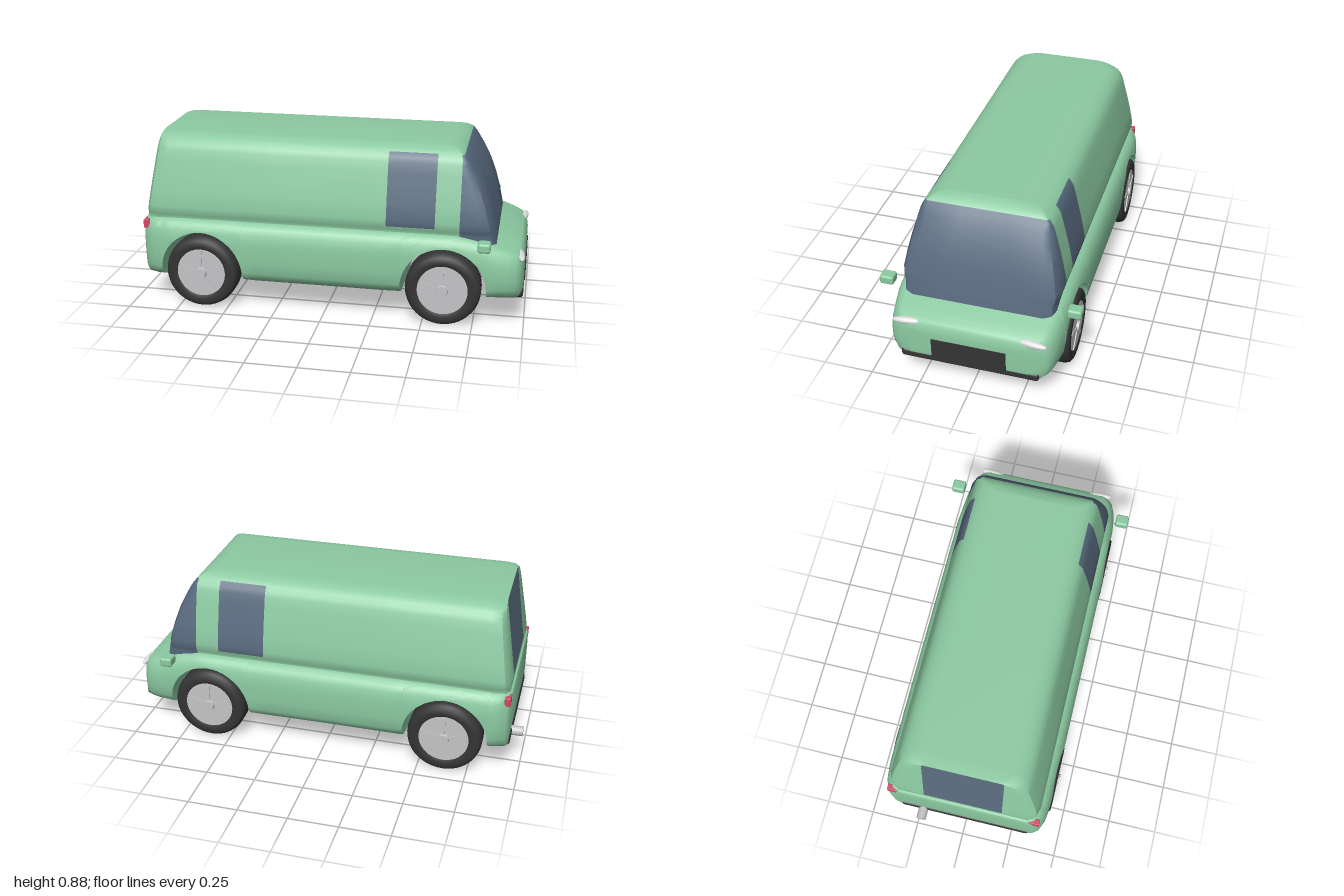
import * as THREE from 'three';
import { toCreasedNormals } from 'three/addons/utils/BufferGeometryUtils.js';
import { RoundedBoxGeometry } from 'three/addons/geometries/RoundedBoxGeometry.js';

const material = (name, color) => {
  const m = new THREE.MeshStandardMaterial({ color });
  m.name = name;
  return m;
};

// Linear lookup in a short table of [key, value] pairs
function lookup(table, k) {
  if (k <= table[0][0]) return table[0][1];
  for (let i = 1; i < table.length; i++) {
    const [k0, v0] = table[i - 1], [k1, v1] = table[i];
    if (k <= k1) return v0 + (v1 - v0) * (k - k0) / (k1 - k0);
  }
  return table[table.length - 1][1];
}

// Closed skin over rings that mirror in z (point i pairs with n-1-i).
// slot(ring, column) picks the material index of each quad.
function loft(rings, slot = () => 0) {
  const n = rings[0].length, faces = [[], []];
  const quad = (list, a, b, c, d) => list.push(a, b, c, a, c, d);
  for (let r = 0; r < rings.length - 1; r++) {
    for (let i = 0; i < n; i++) {
      const j = (i + 1) % n, a = r * n, b = a + n;
      quad(faces[slot(r, i)], a + i, b + i, b + j, a + j);
    }
  }
  const end = (rings.length - 1) * n;
  for (let i = 0; i < n / 2 - 1; i++) {
    const j = n - 1 - i;
    quad(faces[0], i, i + 1, j - 1, j);
    quad(faces[0], end + i, end + j, end + j - 1, end + i + 1);
  }
  const g = new THREE.BufferGeometry();
  g.setAttribute('position', new THREE.Float32BufferAttribute(rings.flat(2), 3));
  g.setIndex([...faces[0], ...faces[1]]);
  g.addGroup(0, faces[0].length, 0);
  if (faces[1].length) g.addGroup(faces[0].length, faces[1].length, 1);
  return toCreasedNormals(g, 0.7);
}

const mirrorRing = half => [...half, ...half.slice().reverse().map(([x, y, z]) => [x, y, -z])];

const AXLES = [-0.63, 0.6], AXLE_Y = 0.19, ARCH = 0.212;

// Lower shell: cross-sections along x, the underside following the wheel arches
function lowerBody() {
  const top = [[-0.94, 0.445], [-0.92, 0.46], [0.66, 0.46], [0.78, 0.44], [0.86, 0.41],
    [0.94, 0.383], [0.97, 0.368], [0.983, 0.35], [0.99, 0.32]];
  const width = [[-0.94, 0.375], [-0.925, 0.397], [-0.88, 0.416], [-0.8, 0.426], [-0.5, 0.43], [0.6, 0.43],
    [0.8, 0.422], [0.9, 0.41], [0.95, 0.393], [0.97, 0.375], [0.983, 0.34], [0.99, 0.29]];
  const lowRound = [[0.127, 0.66], [0.135, 0.78], [0.15, 0.89], [0.17, 0.95], [0.2, 0.985], [0.26, 1]];
  const topRound = [[0, 0.86], [0.008, 0.91], [0.025, 0.95], [0.05, 0.978], [0.1, 1]];
  const levels = [0, 0.025, 0.07, 0.13, 0.22, 0.4, 0.6, 0.72, 0.84, 0.925, 0.975, 1];

  const under = [[-0.94, 0.155], [-0.925, 0.147], [-0.88, 0.14]];
  AXLES.forEach((c, k) => {
    if (k) under.push([-0.35, 0.127], [0, 0.125], [0.3, 0.127]);
    under.push([c - ARCH, 0.132]);
    for (let i = 0; i <= 24; i++) {
      const a = Math.PI * (1 - i / 24);
      under.push([c + ARCH * Math.cos(a), AXLE_Y + ARCH * Math.sin(a)]);
    }
    under.push([c + ARCH, 0.132]);
  });
  under.push([0.87, 0.14], [0.91, 0.145], [0.95, 0.15], [0.97, 0.155], [0.983, 0.165], [0.99, 0.185]);

  return loft(under.map(([x, y0]) => {
    const y1 = lookup(top, x), w = lookup(width, x);
    return mirrorRing(levels.map(t => {
      const y = y0 + (y1 - y0) * t;
      return [x, y, w * Math.min(lookup(lowRound, y), lookup(topRound, y1 - y))];
    }));
  }));
}

// Cabin: horizontal rings going up, with the glass as faces of the same skin
function cabin() {
  // height, half width, front x
  const rows = [[0.40, 0.37, 0.852], [0.43, 0.374, 0.846], [0.46, 0.372, 0.84], [0.475, 0.376, 0.836],
    [0.49, 0.383, 0.832], [0.52, 0.385, 0.825], [0.6, 0.371, 0.803], [0.68, 0.354, 0.775], [0.75, 0.337, 0.742],
    [0.8, 0.325, 0.713], [0.825, 0.314, 0.695], [0.847, 0.297, 0.677], [0.863, 0.272, 0.653],
    [0.873, 0.243, 0.63], [0.878, 0.205, 0.605]];
  const rings = rows.map(([y, w, xf]) => {
    const xb = -0.93 + Math.max(0, y - 0.47) * 0.147;
    const r = THREE.MathUtils.clamp(xf - 0.67, 0.012, 0.05), q = 0.04;
    const side = [0.67, 0.55, 0.31, -0.3].map(x => [Math.min(x, xf - r - 0.001), y, w]);
    return mirrorRing([
      [xf, y, w * 0.4], [xf, y, w - r], [xf - r * 0.3, y, w - r * 0.3], [xf - r, y, w],
      ...side,
      [xb + q * 1.6, y, w], [xb + q * 0.45, y, w - q * 0.3], [xb, y, w - q], [xb, y, Math.min(0.2, (w - q) * 0.95)],
    ]);
  });
  const n = rings[0].length;
  return loft(rings, (row, i) => {
    const y = (rows[row][0] + rows[row + 1][0]) / 2, column = Math.min(i, n - 2 - i);
    const windscreen = column <= 3 && y < 0.847;
    const sideWindow = column === 5 && y > 0.49 && y < 0.847;
    const rearWindow = column === 11 && y > 0.475 && y < 0.87;
    return windscreen || sideWindow || rearWindow ? 1 : 0;
  });
}

export function createModel() {
  const paint = material('green paint', 0x8ccaa2);
  const glass = material('dark glass', 0x586a7e);
  const rubber = material('black rubber', 0x343434);
  const metal = material('wheel metal', 0xc4c4c6);
  const lamp = material('headlight', 0xdcdcdc);
  const red = material('tail light red', 0xd04a66);

  const car = new THREE.Group();
  car.name = 'van';
  const add = (name, geometry, mat, x = 0, y = 0, z = 0, parent = car) => {
    const mesh = new THREE.Mesh(geometry, mat);
    mesh.name = name;
    mesh.position.set(x, y, z);
    parent.add(mesh);
    return mesh;
  };

  add('lowerBody', lowerBody(), paint);
  add('cabin', cabin(), [paint, glass]);

  // Wheels, built facing +z and turned round for the other side
  const tyreProfile = [[0, -0.062], [0.16, -0.062], [0.178, -0.056], [0.187, -0.04], [0.188, 0.03],
    [0.182, 0.052], [0.17, 0.062], [0.14, 0.064], [0.125, 0.058], [0.12, 0.045]]
    .map(p => new THREE.Vector2(...p));
  const tyre = toCreasedNormals(new THREE.LatheGeometry(tyreProfile, 48).rotateX(Math.PI / 2), 0.7);
  const disc = new THREE.CylinderGeometry(0.125, 0.125, 0.02, 48).rotateX(Math.PI / 2);
  const hub = new THREE.CylinderGeometry(0.026, 0.03, 0.018, 24).rotateX(Math.PI / 2);
  const spoke = new THREE.BoxGeometry(0.012, 0.095, 0.01).translate(0, 0.072, 0);
  for (const x of AXLES) {
    for (const s of [1, -1]) {
      const wheel = new THREE.Group();
      wheel.name = 'wheel';
      wheel.position.set(x, AXLE_Y, s * 0.368);
      if (s < 0) wheel.rotation.y = Math.PI;
      add('tyre', tyre, rubber, 0, 0, 0, wheel);
      add('rim', disc, metal, 0, 0, 0.05, wheel);
      add('hub', hub, metal, 0, 0, 0.065, wheel);
      for (let i = 0; i < 5; i++) {
        add('spoke', spoke, metal, 0, 0, 0.06, wheel).rotation.z = i * Math.PI * 0.4;
      }
      car.add(wheel);
    }
  }

  // Paired lights and mirrors
  for (const s of [1, -1]) {
    const light = add('headlight', new THREE.SphereGeometry(1, 32, 16), lamp, 0.968, 0.355, s * 0.3);
    light.scale.set(0.02, 0.018, 0.077);
    light.rotation.y = s * 0.12;
    add('tailLight', new RoundedBoxGeometry(0.03, 0.045, 0.055, 2, 0.004), red, -0.925, 0.422, s * 0.365);
    add('mirror', new RoundedBoxGeometry(0.062, 0.047, 0.07, 3, 0.012), paint, 0.797, 0.446, s * 0.462);
  }

  // Grille, bumpers and exhaust
  add('grille', new THREE.BoxGeometry(0.009, 0.107, 0.366), rubber, 0.9905, 0.232, 0);
  add('frontBumper', new RoundedBoxGeometry(0.045, 0.043, 0.68, 3, 0.014), rubber, 0.968, 0.167, 0);
  add('rearBumper', new RoundedBoxGeometry(0.04, 0.043, 0.68, 3, 0.014), rubber, -0.926, 0.167, 0);
  add('exhaust', new THREE.CylinderGeometry(0.025, 0.025, 0.12, 24).rotateZ(Math.PI / 2), metal, -0.94, 0.164, -0.22);
  return car;
}
